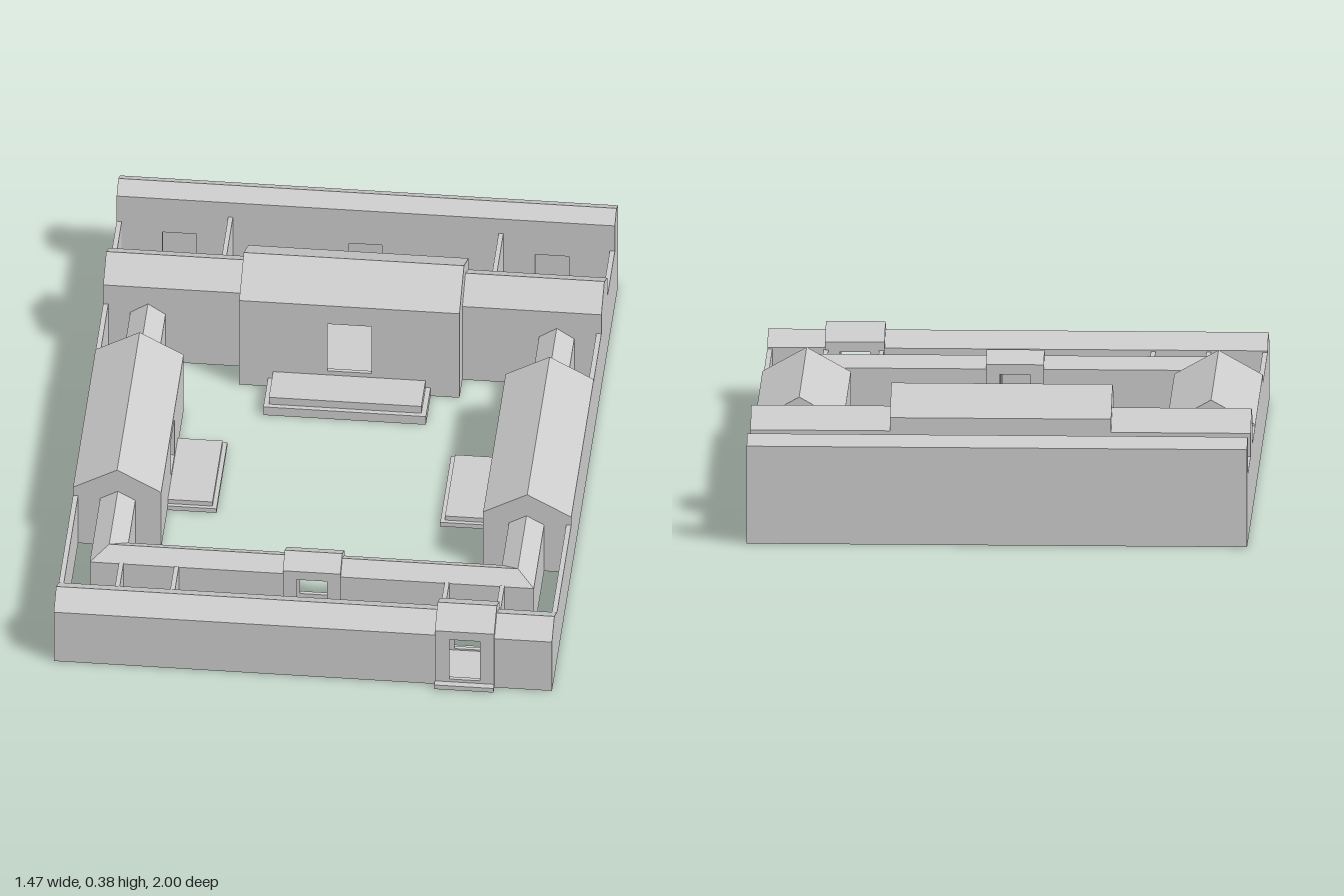
import * as THREE from 'three';

const T = 0.012; // wall and roof thickness
const mat = new THREE.MeshStandardMaterial({ color: 0xcccccc, flatShading: true, side: THREE.DoubleSide });

function add(parent, name, geometry) {
  const mesh = new THREE.Mesh(geometry, mat);
  mesh.name = name;
  parent.add(mesh);
  return mesh;
}

// box given by its limits
function block(parent, name, x0, x1, y0, y1, z0, z1) {
  const m = add(parent, name, new THREE.BoxGeometry(x1 - x0, y1 - y0, z1 - z0));
  m.position.set((x0 + x1) / 2, (y0 + y1) / 2, (z0 + z1) / 2);
  return m;
}

function extrude(points, depth, holes = []) {
  const shape = new THREE.Shape(points.map(p => new THREE.Vector2(...p)));
  for (const h of holes) shape.holes.push(new THREE.Path(h.map(p => new THREE.Vector2(...p))));
  return new THREE.ExtrudeGeometry(shape, { depth, bevelEnabled: false });
}

// hollow ridged run along +z, its far end sheared for a mitred corner
function ridgeRun(length, depth, base, eave, ridge, mitre = 0) {
  const a = depth / 2, b = a - T;
  const geo = extrude([[-a, base], [-b, base], [-b, eave - T], [0, ridge - T], [b, eave - T],
    [b, base], [a, base], [a, eave], [0, ridge], [-a, eave]], length);
  const p = geo.attributes.position;
  for (let i = 0; i < p.count; i++)
    if (p.getZ(i) > length / 2) p.setZ(i, p.getZ(i) + mitre * p.getX(i));
  geo.computeVertexNormals();
  return geo;
}

// long wall with door openings [centre, width, bottom, top]
function doorWall(width, height, doors = []) {
  const w = width / 2;
  const holes = doors.map(([c, d, y0, y1]) =>
    [[c - d / 2, y0], [c - d / 2, y1], [c + d / 2, y1], [c + d / 2, y0]]);
  return extrude([[-w, 0], [w, 0], [w, height], [-w, height]], T, holes);
}

// gabled building, ridge along x and front toward +z
function building(parent, name, { w, d, eave, ridge, x = 0, z = 0, turn = 0, front, back, floor = 0 }) {
  const g = new THREE.Group();
  g.name = name;
  g.position.set(x, 0, z);
  g.rotation.y = turn;
  parent.add(g);
  add(g, 'frontWall', doorWall(w, eave - T, front)).position.z = d / 2 - T;
  add(g, 'backWall', doorWall(w, eave - T, back)).position.z = -d / 2;
  const gable = [[-d / 2, 0], [d / 2, 0], [d / 2, eave], [0, ridge], [-d / 2, eave]];
  for (const start of [-w / 2, w / 2 - T]) {
    const end = add(g, 'gableWall', extrude(gable, T));
    end.rotation.y = Math.PI / 2;
    end.position.x = start;
  }
  const roof = add(g, 'roof', ridgeRun(w, d, eave - 2 * T, eave, ridge));
  roof.rotation.y = Math.PI / 2;
  roof.position.x = -w / 2;
  if (floor) block(g, 'floor', -w / 2 + T / 2, w / 2 - T / 2, 0, floor, -d / 2 + T / 2, d / 2 - T / 2);
  return g;
}

export function createModel() {
  const root = new THREE.Group();
  root.name = 'courtyardHouse';

  // main hall with front terrace and rear steps
  const hallDoor = [[0, 0.13, 0.07, 0.243]];
  building(root, 'mainHall', { w: 0.65, d: 0.27, eave: 0.31, ridge: 0.385, z: -0.545,
    front: hallDoor, back: hallDoor, floor: 0.06 });
  block(root, 'hallTerraceLower', -0.24, 0.24, 0, 0.03, -0.415, -0.27);
  block(root, 'hallTerraceUpper', -0.225, 0.225, 0.03, 0.055, -0.415, -0.285);
  [0, 1, 2].forEach(i => block(root, 'hallRearStep', -0.108 + i * 0.019, 0.108 - i * 0.019,
    i * 0.02, (i + 1) * 0.02, -0.765 + i * 0.014, -0.675));

  // rear row closing the plot
  building(root, 'rearRow', { w: 1.47, d: 0.1, eave: 0.293, ridge: 0.32, z: -0.95,
    front: [-0.55, 0, 0.55].map(c => [c, 0.1, 0.03, 0.17]) });

  // front row, interrupted by the entrance gate
  building(root, 'frontRowLong', { w: 1.125, d: 0.145, eave: 0.18, ridge: 0.22, x: -0.1725, z: 0.9025,
    back: [[-0.31, 0.09, 0.025, 0.15], [0.1725, 0.09, 0.025, 0.15]] });
  building(root, 'frontRowShort', { w: 0.17, d: 0.145, eave: 0.18, ridge: 0.22, x: 0.65, z: 0.9025 });

  // entrance gate with a step on each side
  const gateDoor = [[0, 0.09, 0.025, 0.17]];
  building(root, 'entranceGate', { w: 0.175, d: 0.16, eave: 0.2, ridge: 0.245, x: 0.4775, z: 0.9,
    front: gateDoor, back: gateDoor, floor: 0.02 });
  block(root, 'gateStepFront', 0.39, 0.565, 0, 0.015, 0.975, 1);
  block(root, 'gateStepBack', 0.39, 0.565, 0, 0.015, 0.8, 0.825);

  // inner gate in the corridor
  const innerDoor = [[0, 0.09, 0.025, 0.155]];
  building(root, 'innerGate', { w: 0.17, d: 0.116, eave: 0.185, ridge: 0.217, z: 0.6575,
    front: innerDoor, back: innerDoor });

  for (const s of [-1, 1]) {
    const side = new THREE.Group();
    side.name = s > 0 ? 'leftSide' : 'rightSide';
    root.add(side);
    // x limits mirrored to this side
    const sideBlock = (name, a, b, ...rest) =>
      block(side, name, Math.min(a * s, b * s), Math.max(a * s, b * s), ...rest);

    // ear rooms beside the hall
    building(side, 'earRoom', { w: 0.41, d: 0.18, eave: 0.27, ridge: 0.325, x: s * 0.53, z: -0.588,
      back: [[s * 0.025, 0.1, 0.035, 0.19]], floor: 0.03 });
    sideBlock('earRoomStep', 0.49, 0.62, 0, 0.025, -0.7, -0.67);

    // side wing facing the yard, with its terrace
    building(side, 'sideWing', { w: 0.67, d: 0.26, eave: 0.205, ridge: 0.278, x: s * 0.605, z: 0.065,
      turn: -s * Math.PI / 2, front: [[-s * 0.01, 0.11, 0.04, 0.175]], floor: 0.03 });
    sideBlock('wingTerraceLower', 0.33, 0.48, 0, 0.015, -0.107, 0.215);
    sideBlock('wingTerraceUpper', 0.343, 0.48, 0.015, 0.03, -0.095, 0.203);

    // corridor, mitred at the corner
    const run = add(side, 'sideCorridor', ridgeRun(0.2575, 0.104, 0, 0.17, 0.2, s));
    run.position.set(s * 0.603, 0, 0.4);
    const cross = add(side, 'frontCorridor', ridgeRun(0.523, 0.104, 0, 0.17, 0.2, -s));
    cross.rotation.y = s * Math.PI / 2;
    cross.position.set(s * 0.08, 0, 0.6575);
    if (s < 0) {
      // opposite turn swaps the profile's sides, so the mitre is the same rule
      cross.geometry = ridgeRun(0.523, 0.104, 0, 0.17, 0.2, 1);
    }
    add(side, 'rearCorridor', ridgeRun(0.23, 0.104, 0, 0.175, 0.21)).position.set(s * 0.603, 0, -0.5);

    // boundary walls between the buildings
    for (const [z0, z1, h] of [[0.4, 0.83, 0.175], [-0.5, -0.27, 0.2], [-0.9, -0.678, 0.2]])
      sideBlock('boundaryWall', 0.72, 0.735, 0, h, z0, z1);
    // partitions of the narrow yards
    sideBlock('rearPartition', 0.392, 0.406, 0, 0.24, -0.9, -0.678);
    sideBlock('frontPartitionInner', 0.392, 0.406, 0, 0.175, 0.71, 0.83);
    sideBlock('frontPartitionOuter', 0.555, 0.569, 0, 0.175, 0.71, 0.83);
  }
  return root;
}
